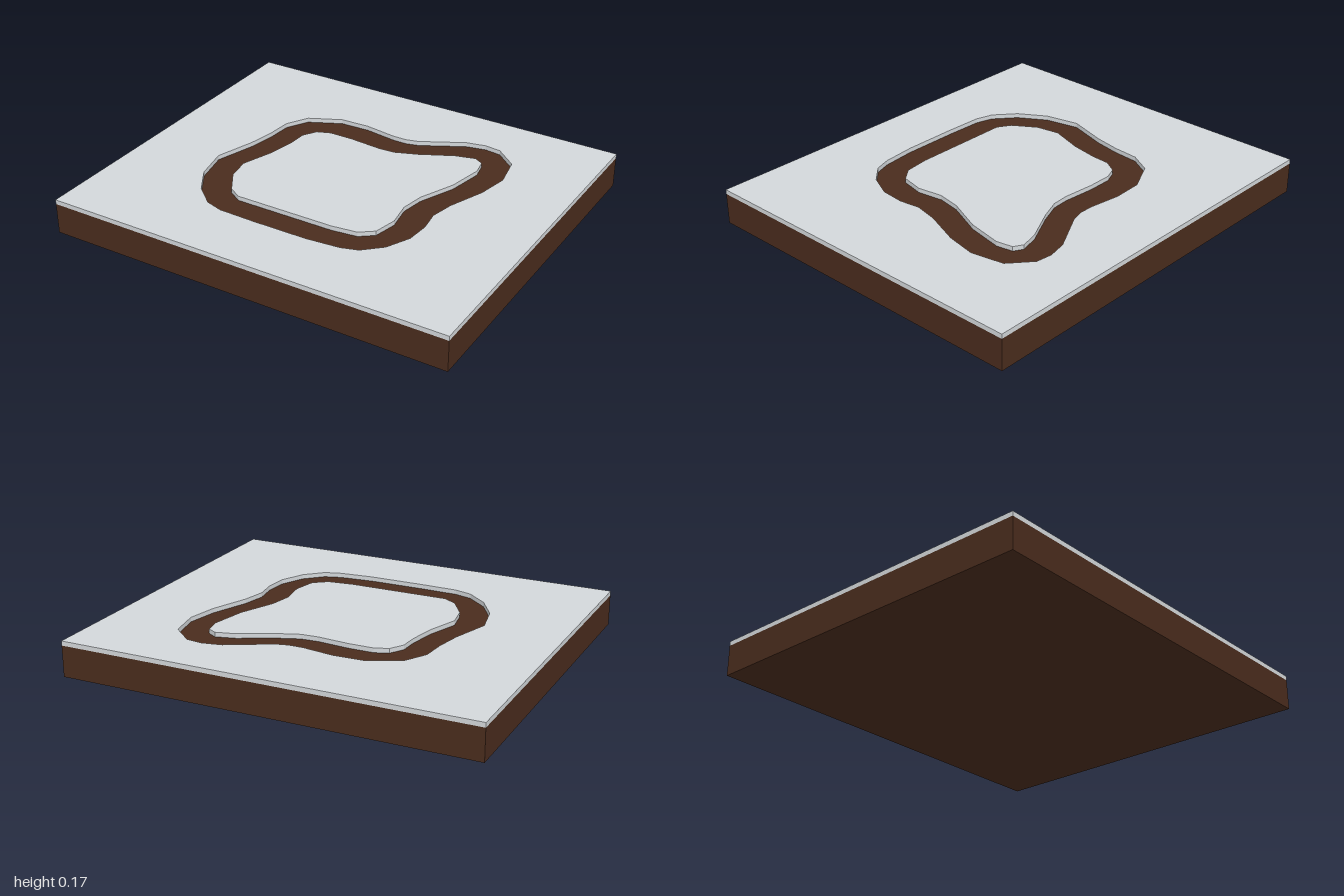
import * as THREE from 'three';

const WIDTH = 2, DEPTH = 1.72, BASE = 0.15, TOP = 0.172;

// Groove outlines as [x, z], running round from the back middle
const OUTER = [
  [0, -0.465], [0.07, -0.465], [0.13, -0.48], [0.335, -0.59], [0.43, -0.61], [0.51, -0.6], [0.615, -0.51],
  [0.645, -0.35], [0.615, -0.2], [0.545, -0.02], [0.52, 0.095], [0.535, 0.2], [0.525, 0.315], [0.47, 0.43],
  [0.385, 0.51], [0.305, 0.535], [0.14, 0.55], [-0.13, 0.55], [-0.315, 0.545], [-0.4, 0.52], [-0.5, 0.435],
  [-0.58, 0.305], [-0.615, 0.14], [-0.555, -0.05], [-0.53, -0.18], [-0.52, -0.305], [-0.46, -0.41],
  [-0.305, -0.485], [-0.16, -0.49],
];
const INNER = [
  [0, -0.32], [0.085, -0.325], [0.19, -0.365], [0.35, -0.445], [0.445, -0.47], [0.49, -0.445], [0.505, -0.365],
  [0.47, -0.19], [0.395, -0.015], [0.375, 0.1], [0.395, 0.225], [0.37, 0.34], [0.305, 0.39], [0.18, 0.405],
  [-0.315, 0.405], [-0.38, 0.365], [-0.45, 0.255], [-0.47, 0.14], [-0.415, -0.02], [-0.39, -0.155],
  [-0.385, -0.245], [-0.345, -0.31], [-0.28, -0.335], [-0.16, -0.335],
];

const toPoints = (list) => list.map(([x, z]) => new THREE.Vector2(x, -z));

// Lay a shape flat on top of the base as a thin sheet
function sheet(name, shape, material) {
  const geometry = new THREE.ExtrudeGeometry(shape, { depth: TOP - BASE, bevelEnabled: false });
  geometry.rotateX(-Math.PI / 2).translate(0, BASE, 0);
  const mesh = new THREE.Mesh(geometry, material);
  mesh.name = name;
  return mesh;
}

export function createModel() {
  const group = new THREE.Group();
  group.name = 'trackBoard';
  const brown = new THREE.MeshStandardMaterial({ color: 0x4a2c1d });
  const grey = new THREE.MeshStandardMaterial({ color: 0xd3d7da });

  // Thick board, seen as the floor of the groove
  const base = new THREE.Mesh(new THREE.BoxGeometry(WIDTH, BASE, DEPTH), brown);
  base.position.y = BASE / 2;
  base.name = 'baseBoard';

  // Pale sheet with the loop cut out, and the island inside the loop
  const w = WIDTH / 2, d = DEPTH / 2;
  const surround = new THREE.Shape(toPoints([[-w, d], [w, d], [w, -d], [-w, -d]]));
  surround.holes.push(new THREE.Path(toPoints(OUTER)));
  const island = new THREE.Shape(toPoints(INNER));

  group.add(base, sheet('surroundSheet', surround, grey), sheet('islandSheet', island, grey));
  return group;
}
